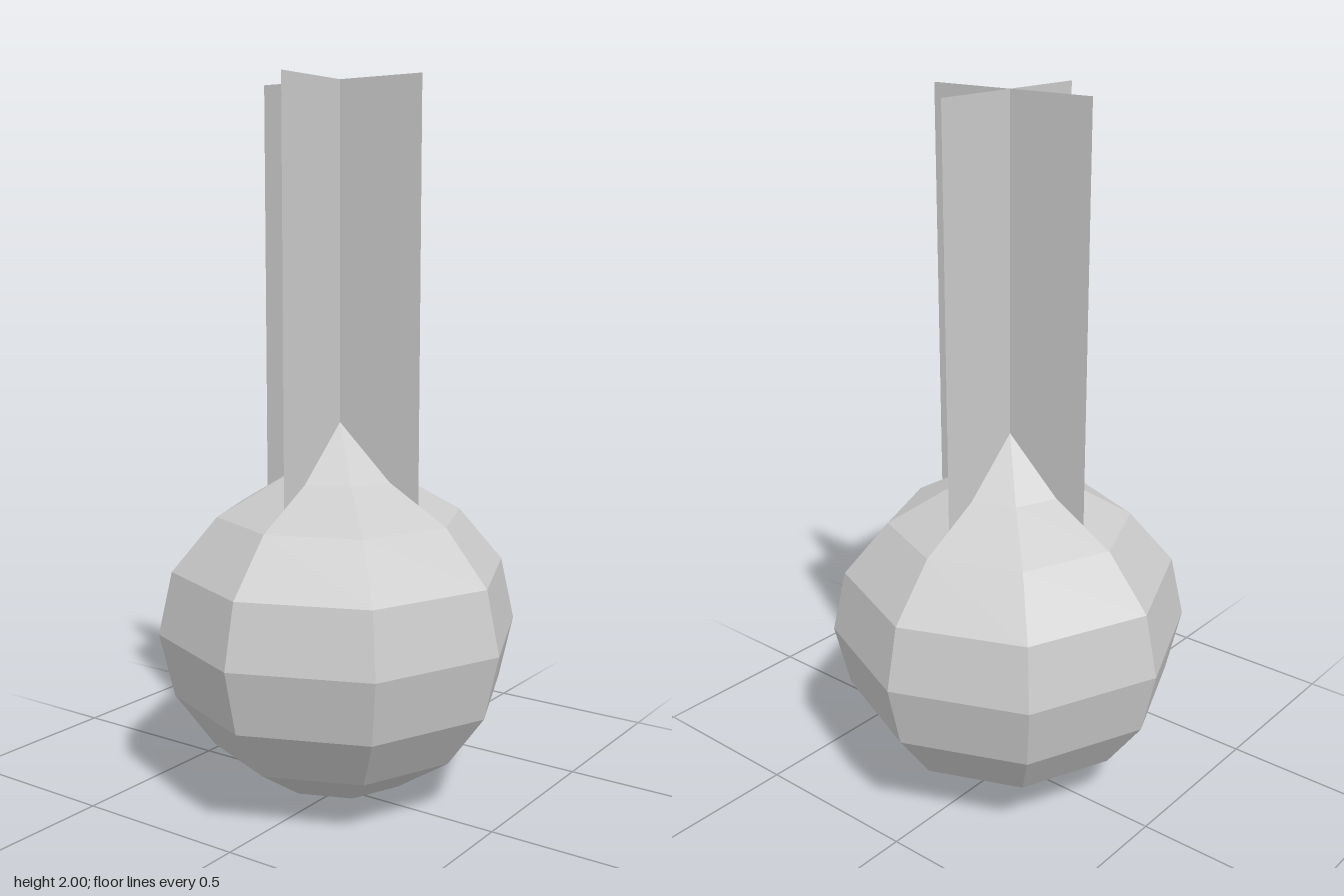
import * as THREE from 'three';

export function createModel() {
  const group = new THREE.Group();
  const material = new THREE.MeshStandardMaterial({ color: 0xcccccc, flatShading: true });
  const finMaterial = new THREE.MeshStandardMaterial({ color: 0xcccccc, side: THREE.DoubleSide });

  // Eight-sided bulb, drawn up to a point at the top
  const profile = [
    [0, 0], [0.2, 0.055], [0.36, 0.16], [0.47, 0.31], [0.512, 0.49],
    [0.473, 0.667], [0.346, 0.818], [0.165, 0.922], [0, 1.075],
  ].map(([r, y]) => new THREE.Vector2(r, y));
  const bulb = new THREE.Mesh(new THREE.LatheGeometry(profile, 8), material);
  bulb.name = 'bulb';
  group.add(bulb);

  // Two crossed upright sheets rising out of the bulb
  const bottom = 0.8, top = 2;
  const sheet = new THREE.PlaneGeometry(0.516, top - bottom);
  for (let i = 0; i < 2; i++) {
    const fin = new THREE.Mesh(sheet, finMaterial);
    fin.name = i === 0 ? 'sidewaysFin' : 'lengthwiseFin';
    fin.position.y = (top + bottom) / 2;
    fin.rotation.y = i * Math.PI / 2;
    group.add(fin);
  }
  return group;
}
